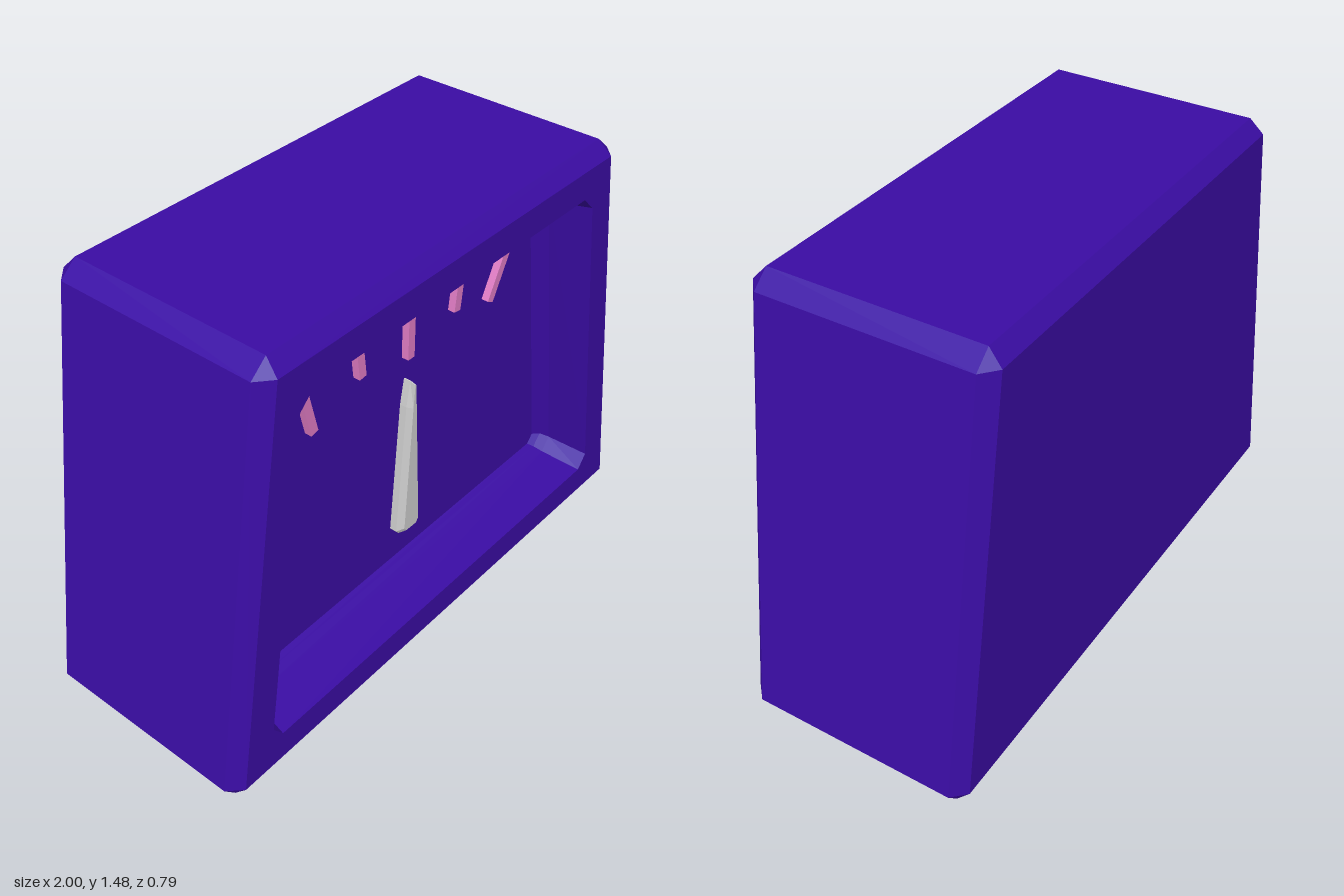
import * as THREE from 'three';

// Closed trapezoid outline with cut corners, counter-clockwise seen from the front
function trapezoid(bottom, y0, top, y1, cx, cy, z) {
  const slope = ((bottom - top) / (y1 - y0)) * cy;
  const right = [
    [bottom - cx, y0], [bottom - slope, y0 + cy],
    [top + slope, y1 - cy], [top - cx, y1],
  ];
  const left = right.map(([x, y]) => [-x, y]).reverse();
  return [...right, ...left].map(([x, y]) => new THREE.Vector3(x, y, z));
}

// Skin over successive loops, with the first and last loop capped
function loft(loops) {
  const pts = [];
  const n = loops[0].length;
  const tri = (a, b, c) => {
    const area = b.clone().sub(a).cross(c.clone().sub(a)).length();
    if (area > 1e-8) pts.push(a, b, c);
  };
  for (let k = 0; k < loops.length - 1; k++) {
    const a = loops[k], b = loops[k + 1];
    for (let i = 0; i < n; i++) {
      const j = (i + 1) % n;
      tri(a[i], a[j], b[j]);
      tri(a[i], b[j], b[i]);
    }
  }
  const first = loops[0], last = loops[loops.length - 1];
  for (let i = 1; i < n - 1; i++) {
    tri(first[0], first[i + 1], first[i]);
    tri(last[0], last[i], last[i + 1]);
  }
  const geo = new THREE.BufferGeometry().setFromPoints(pts);
  geo.computeVertexNormals();
  return geo;
}

export function createModel() {
  const group = new THREE.Group();
  const add = (name, geo, mat) => {
    const mesh = new THREE.Mesh(geo, mat);
    mesh.name = name;
    group.add(mesh);
    return mesh;
  };
  const bodyMat = new THREE.MeshStandardMaterial({ color: 0x3a0ca3, flatShading: true });
  const tickMat = new THREE.MeshStandardMaterial({ color: 0xe07cc4, flatShading: true });
  const greyMat = new THREE.MeshStandardMaterial({ color: 0xcccccc, flatShading: true });

  // Bevelled housing, front frame and recessed dial in one skin
  add('housing', loft([
    trapezoid(0.955, 0.05, 0.752, 1.435, 0, 0, -0.395),
    trapezoid(1.007, 0, 0.793, 1.483, 0.05, 0.05, -0.35),
    trapezoid(1.007, 0, 0.793, 1.483, 0.05, 0.05, 0.35),
    trapezoid(0.955, 0.05, 0.752, 1.435, 0, 0, 0.395),
    trapezoid(0.835, 0.152, 0.668, 1.337, 0.045, 0.05, 0.395),
    trapezoid(0.812, 0.175, 0.648, 1.312, 0.045, 0.045, 0.25),
    trapezoid(0.795, 0.19, 0.635, 1.293, 0.04, 0.04, 0.22),
    trapezoid(0.772, 0.2, 0.622, 1.28, 0.03, 0.03, 0.2),
  ]), bodyMat);

  // Scale marks: outer end x, y, then inner end x, y
  const ticks = [
    [-0.49, 1.205, -0.435, 0.985],
    [-0.238, 1.175, -0.224, 1.06],
    [0, 1.235, 0, 1.005],
    [0.238, 1.175, 0.224, 1.06],
    [0.5, 1.2, 0.4, 1.005],
  ];
  ticks.forEach(([x0, y0, x1, y1], i) => {
    const geo = new THREE.BoxGeometry(0.03, Math.hypot(x0 - x1, y0 - y1), 0.04);
    const tick = add(`scaleMark${i + 1}`, geo, tickMat);
    tick.position.set((x0 + x1) / 2, (y0 + y1) / 2, 0.205);
    tick.rotation.z = Math.atan2(x1 - x0, y0 - y1);
  });

  // Tapered pointer with bevelled edges and a sharp tip
  const pointer = (w, y0, shoulder, tip, z) => [
    [w - 0.012, y0], [w, y0 + 0.015], [shoulder, 0.83], [0.002, tip],
    [-0.002, tip], [-shoulder, 0.83], [-w, y0 + 0.015], [-w + 0.012, y0],
  ].map(([x, y]) => new THREE.Vector3(x, y, z));
  add('needle', loft([
    pointer(0.054, 0.325, 0.018, 0.92, 0.19),
    pointer(0.054, 0.325, 0.018, 0.92, 0.225),
    pointer(0.036, 0.338, 0.008, 0.915, 0.245),
  ]), greyMat);

  return group;
}
